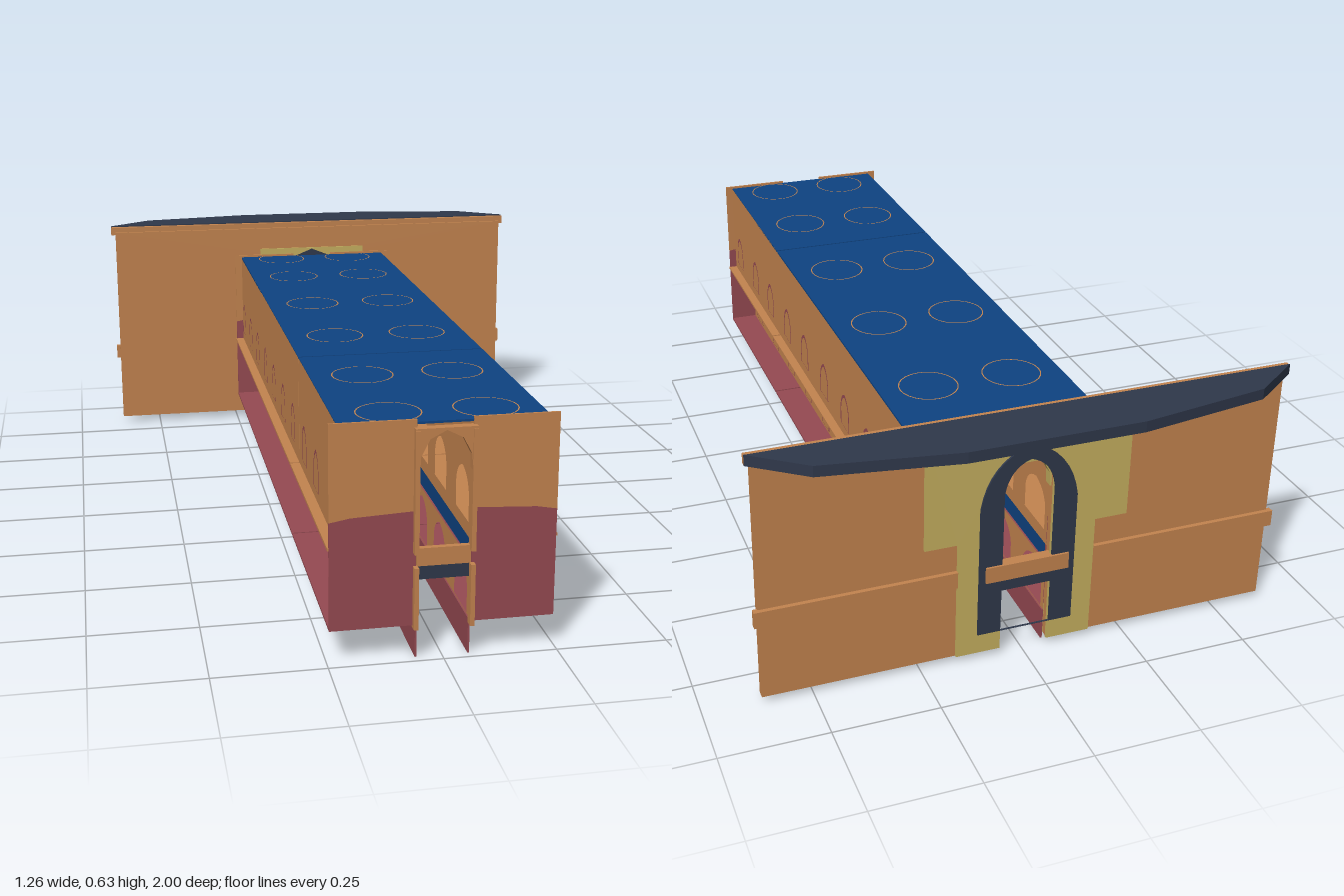
import * as THREE from 'three';

const mat = (name, color) => new THREE.MeshStandardMaterial({ name, color, side: THREE.DoubleSide });

export function createModel() {
  const sandstone = mat('sandstone', 0xc4844f);
  const maroon = mat('maroon', 0x964a52);
  const blue = mat('blue', 0x0e4382);
  const slate = mat('slate', 0x2f384b);
  const yellow = mat('yellow stone', 0xc6b060);
  const group = new THREE.Group();

  const add = (name, geo, m) => {
    const mesh = new THREE.Mesh(geo, m);
    mesh.name = name;
    group.add(mesh);
    return mesh;
  };
  // Box given by its limits on each axis
  const box = (name, m, x0, x1, y0, y1, z0, z1) => {
    const b = add(name, new THREE.BoxGeometry(Math.abs(x1 - x0), y1 - y0, z1 - z0), m);
    b.position.set((x0 + x1) / 2, (y0 + y1) / 2, (z0 + z1) / 2);
    return b;
  };
  const poly = pts => new THREE.Shape(pts.map(p => new THREE.Vector2(...p)));
  // Slightly pointed arch outline centred on cx
  const arch = (Type, cx, w, y0, spring, top) => {
    const s = new Type();
    s.moveTo(cx - w, y0);
    s.lineTo(cx - w, spring);
    s.quadraticCurveTo(cx - w * 0.85, top - (top - spring) * 0.2, cx, top);
    s.quadraticCurveTo(cx + w * 0.85, top - (top - spring) * 0.2, cx + w, spring);
    s.lineTo(cx + w, y0);
    s.closePath();
    return s;
  };
  // Upright plate facing the front
  const plate = (name, m, shape, z, depth) => {
    const p = add(name, new THREE.ExtrudeGeometry(shape, { depth, bevelEnabled: false, curveSegments: 8 }), m);
    p.position.z = z;
    return p;
  };
  // Upright sheet running along the length at a given x
  const sideSheet = (name, m, shape, x) => {
    const g = new THREE.ShapeGeometry(shape, 6);
    g.rotateY(-Math.PI / 2);
    add(name, g, m).position.x = x;
  };

  // Two arcade sections with a narrow joint between them
  const sections = [
    { z0: -0.84, z1: 0.423, bays: [-0.77, -0.59, -0.41, -0.225, -0.04, 0.15, 0.33] },
    { z0: 0.428, z1: 0.98, bays: [0.52, 0.7, 0.9] },
  ];
  for (const { z0, z1, bays } of sections) {
    box('hallCeiling', blue, -0.225, 0.225, 0.521, 0.526, z0, z1);
    for (const s of [-1, 1]) {
      box('upperWall', sandstone, s * 0.22, s * 0.225, 0.26, 0.524, z0, z1);
      box('galleryLedge', sandstone, s * 0.06, s * 0.248, 0.256, 0.262, z0, z1);
      box('gallerySlab', blue, s * 0.063, s * 0.17, 0.21, 0.256, z0, z1);
      box('lowerWall', sandstone, s * 0.165, s * 0.17, 0.08, 0.21, z0, z1);
      box('aisleFloor', maroon, s * 0.06, s * 0.245, 0.074, 0.08, z0, z1);
      box('corridorPlinth', maroon, s * 0.056, s * 0.06, 0, 0.08, z0, z1);
      // Corridor shopfronts with arched openings on both storeys
      for (const [y0, y1, d0] of [[0.08, 0.21, 0.082], [0.262, 0.521, 0.29]]) {
        const front = poly([[z0, y0], [z1, y0], [z1, y1], [z0, y1]]);
        for (const z of bays) front.holes.push(arch(THREE.Path, z, 0.055, d0, d0 + 0.06, d0 + 0.11));
        sideSheet('corridorShopfront', sandstone, front, s * 0.059);
      }
      // Thin arch outlines on the outer walls
      for (const z of bays) {
        for (const [y0, x] of [[0.29, 0.227], [0.09, 0.172]]) {
          const rim = arch(THREE.Shape, z, 0.036, y0, y0 + 0.045, y0 + 0.095);
          rim.holes.push(arch(THREE.Path, z, 0.03, y0 + 0.001, y0 + 0.045, y0 + 0.086));
          sideSheet('wallArch', maroon, rim, s * x);
        }
      }
    }
  }

  // Ceiling rings
  for (const z of [-0.78, -0.505, -0.135, 0.235, 0.61, 0.905]) {
    for (const x of [-0.105, 0.105]) {
      const ring = add('ceilingRing', new THREE.RingGeometry(0.0685, 0.0715, 24), sandstone);
      ring.rotation.x = -Math.PI / 2;
      ring.position.set(x, 0.5275, z);
    }
  }

  // End walls at both ends: maroon below, sandstone above
  for (const s of [-1, 1]) {
    for (const z of [-0.838, 0.977]) {
      plate('endWallLower', maroon, poly([[s * 0.06, 0.075], [s * 0.245, 0.075], [s * 0.245, 0.318],
        [s * 0.2, 0.326], [s * 0.06, 0.333]]), z, 0.005);
      plate('endWallUpper', sandstone, poly([[s * 0.06, 0.333], [s * 0.2, 0.326], [s * 0.245, 0.318],
        [s * 0.245, 0.532], [s * 0.06, 0.532]]), z, 0.005);
    }
    // Front portal jambs
    box('portalJambLower', sandstone, s * 0.056, s * 0.066, 0.07, 0.21, 0.975, 0.998);
    box('portalJambUpper', sandstone, s * 0.056, s * 0.066, 0.24, 0.51, 0.975, 0.998);
  }

  // Portal heads: spandrels around the arched opening, with a crossbeam
  for (const z of [-0.85, 0.975]) {
    const head = poly([[-0.066, 0.42], [-0.056, 0.42], [-0.054, 0.455], [-0.035, 0.492], [0, 0.51],
      [0.035, 0.492], [0.054, 0.455], [0.056, 0.42], [0.066, 0.42], [0.066, 0.515], [-0.066, 0.515]]);
    plate('portalHead', z > 0 ? sandstone : yellow, head, z, 0.02);
  }
  box('frontCrossbeam', sandstone, -0.058, 0.058, 0.21, 0.25, 0.972, 0.985);
  box('frontCrossbeamBase', slate, -0.058, 0.058, 0.178, 0.208, 0.972, 0.98);
  box('rearCrossbeam', sandstone, -0.1, 0.1, 0.21, 0.25, -0.876, -0.85);
  box('rearCrossbeamBase', slate, -0.06, 0.06, 0.178, 0.21, -0.868, -0.85);

  // Wide rear facade with a central opening
  const facade = poly([[-0.617, 0.018], [-0.06, 0.018], [-0.06, 0.52], [0.06, 0.52], [0.06, 0.018],
    [0.617, 0.018], [0.617, 0.615], [-0.617, 0.615]]);
  plate('facadeWall', sandstone, facade, -0.86, 0.02);
  for (const s of [-1, 1]) {
    box('facadeStringCourse', sandstone, s * 0.165, s * 0.628, 0.21, 0.25, -0.87, -0.855);
    box('facadeFoot', yellow, s * 0.06, s * 0.165, 0.018, 0.1, -0.842, -0.839);
  }
  box('facadeFrieze', yellow, -0.165, 0.165, 0.51, 0.55, -0.842, -0.836);
  plate('facadeGable', slate, poly([[-0.052, 0.525], [0.052, 0.525], [0, 0.546]]), -0.836, 0.003);

  // Yellow stone face and slate arch surround on the back
  const stone = poly([[-0.165, 0.018], [-0.058, 0.018], [-0.058, 0.5], [0.058, 0.5], [0.058, 0.018], [0.165, 0.018],
    [0.165, 0.32], [0.243, 0.32], [0.243, 0.61], [-0.243, 0.61], [-0.243, 0.32], [-0.165, 0.32]]);
  plate('rearStoneFace', yellow, stone, -0.866, 0.006);
  const surround = arch(THREE.Shape, 0, 0.115, 0.07, 0.4, 0.545);
  surround.holes.push(arch(THREE.Path, 0, 0.06, 0.071, 0.43, 0.51));
  plate('rearArchSurround', slate, surround, -0.871, 0.005);

  // Flat canopy roof, stepped outwards towards the middle
  const roof = new THREE.ExtrudeGeometry(poly([[-0.63, 0.862], [0.63, 0.862], [0.51, 0.95], [0.2, 1],
    [-0.2, 1], [-0.51, 0.95]]), { depth: 0.026, bevelEnabled: false });
  roof.rotateX(-Math.PI / 2);
  add('canopyRoof', roof, slate).position.y = 0.607;
  box('canopyTrim', sandstone, -0.63, 0.63, 0.607, 0.63, -0.862, -0.848);

  return group;
}
